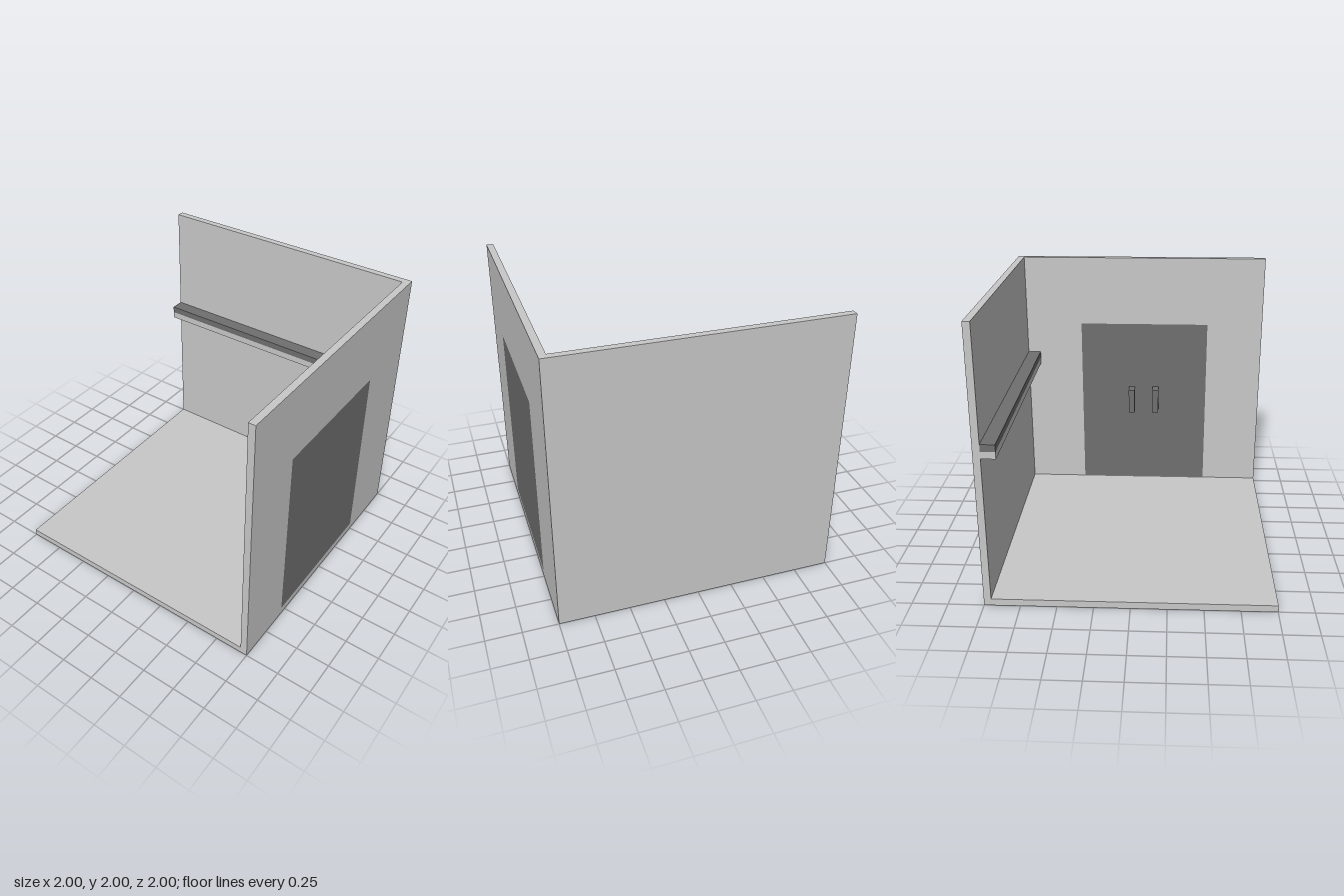
import * as THREE from 'three';

export function createModel() {
  const model = new THREE.Group();
  model.name = 'roomCorner';

  const lightGrey = new THREE.MeshStandardMaterial({ color: 0xc8c8c8 });
  lightGrey.name = 'light grey';
  const darkGrey = new THREE.MeshStandardMaterial({ color: 0x6f6f6f });
  darkGrey.name = 'dark grey';

  // Box given by its lower and upper limits on each axis
  function box(name, material, [x0, x1], [y0, y1], [z0, z1], parent = model) {
    const mesh = new THREE.Mesh(new THREE.BoxGeometry(x1 - x0, y1 - y0, z1 - z0), material);
    mesh.position.set((x0 + x1) / 2, (y0 + y1) / 2, (z0 + z1) / 2);
    mesh.name = name;
    parent.add(mesh);
    return mesh;
  }

  // Floor and back wall
  box('floor', lightGrey, [-1, 1], [0, 0.05], [-1, 1]);
  box('backWall', lightGrey, [-1, 0.95], [0.05, 2], [-1, -0.95]);

  // Side wall with a doorway, drawn in (z, y) and turned to face +x
  const door = { z: [-0.497, 0.55], y: [0.055, 1.45] };
  const outline = new THREE.Shape([[1, 0.05], [1, 2], [-1, 2], [-1, 0.05]]
    .map(([z, y]) => new THREE.Vector2(-z, y)));
  const [z0, z1] = door.z, [y0, y1] = door.y;
  outline.holes.push(new THREE.Path([[z0, y0], [z0, y1], [z1, y1], [z1, y0]]
    .map(([z, y]) => new THREE.Vector2(-z, y))));
  const wallGeometry = new THREE.ExtrudeGeometry(outline, { depth: 0.05, bevelEnabled: false });
  wallGeometry.rotateY(Math.PI / 2).translate(0.95, 0, 0);
  const sideWall = new THREE.Mesh(wallGeometry, lightGrey);
  sideWall.name = 'sideWall';
  model.add(sideWall);

  // Door panel, flush with both wall faces
  box('door', darkGrey, [0.95, 1], door.y, door.z);

  // Pair of C-shaped door handles on the inside
  for (const [side, z] of [['back', -0.1], ['front', 0.1]]) {
    const handle = new THREE.Group();
    handle.name = side + 'DoorHandle';
    const depth = [z, z + 0.05];
    box('grip', darkGrey, [0.85, 0.9], [0.7, 0.9], depth, handle);
    box('lowerArm', darkGrey, [0.9, 0.95], [0.7, 0.75], depth, handle);
    box('upperArm', darkGrey, [0.9, 0.95], [0.85, 0.9], depth, handle);
    model.add(handle);
  }

  // Long ledge on the back wall: dark top on a light base
  box('ledgeBase', lightGrey, [-1, 0.95], [1.1, 1.15], [-0.95, -0.85]);
  box('ledgeTop', darkGrey, [-1, 0.95], [1.15, 1.2], [-0.95, -0.85]);

  return model;
}
